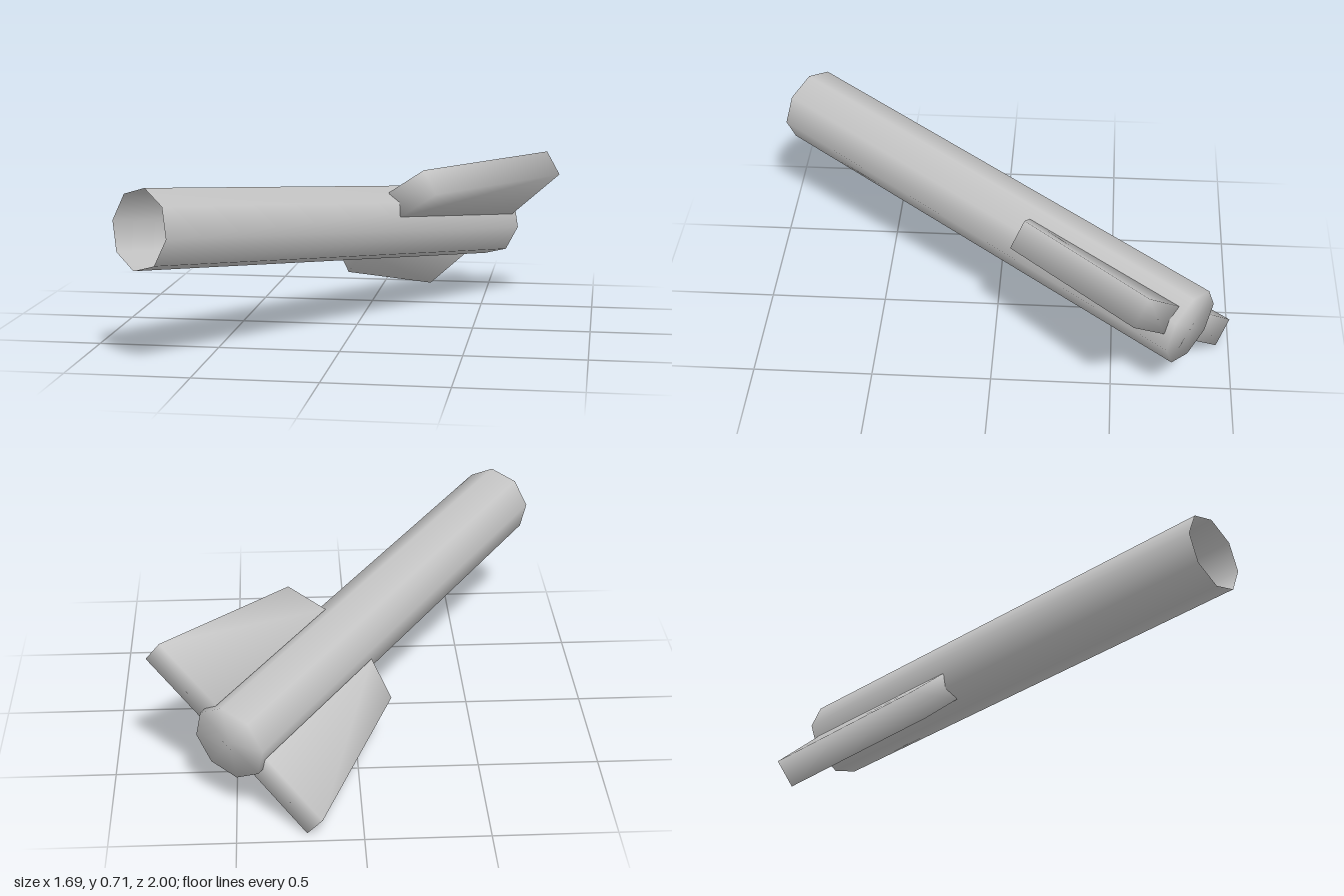
import * as THREE from 'three';
import { mergeVertices } from 'three/addons/utils/BufferGeometryUtils.js';

const RADIUS = 0.164, LENGTH = 2.12;

// Welds corners so normals run smoothly over the edges
function weld(geometry) {
  geometry.deleteAttribute('normal');
  geometry.deleteAttribute('uv');
  const welded = mergeVertices(geometry, 1e-4);
  welded.computeVertexNormals();
  return welded;
}

export function createModel() {
  const grey = new THREE.MeshStandardMaterial({ color: 0xc4c4c4, side: THREE.DoubleSide });
  grey.name = 'light grey';

  // Local frame: y runs from the open front end to the closed rear end
  const rocket = new THREE.Group();
  rocket.name = 'rocket';
  const axis = new THREE.Vector3(0.583, -0.099, -0.806).normalize();
  const side = new THREE.Vector3(0.806, 0, 0.583).normalize();
  const up = new THREE.Vector3().crossVectors(side, axis);
  rocket.quaternion.setFromRotationMatrix(new THREE.Matrix4().makeBasis(side, axis, up));
  rocket.position.set(-0.717, 0.548, 0.898);

  // Eight-sided tube, open in front and capped at the rear
  const profile = [[RADIUS, 0], [RADIUS, LENGTH], [0, LENGTH]].map(p => new THREE.Vector2(...p));
  const body = new THREE.Mesh(new THREE.LatheGeometry(profile, 8, 0.113), grey);
  body.name = 'bodyTube';
  rocket.add(body);

  // Two thick swept fins on opposite sides: [distance from axis, distance along it]
  const outline = [[0.141, 1.324], [0.314, 1.391], [0.467, 2.091], [0.141, 2.088]];
  const thickness = 0.126;
  const finGeometry = new THREE.ExtrudeGeometry(
    new THREE.Shape(outline.map(p => new THREE.Vector2(...p))),
    { depth: thickness, bevelEnabled: false });
  finGeometry.translate(0, 0, -thickness / 2);
  const smoothFin = weld(finGeometry);
  ['leftFin', 'rightFin'].forEach((name, i) => {
    const fin = new THREE.Mesh(smoothFin, grey);
    fin.name = name;
    fin.rotation.y = -0.69 + i * Math.PI;
    rocket.add(fin);
  });

  const model = new THREE.Group();
  model.name = 'model';
  model.add(rocket);
  return model;
}
